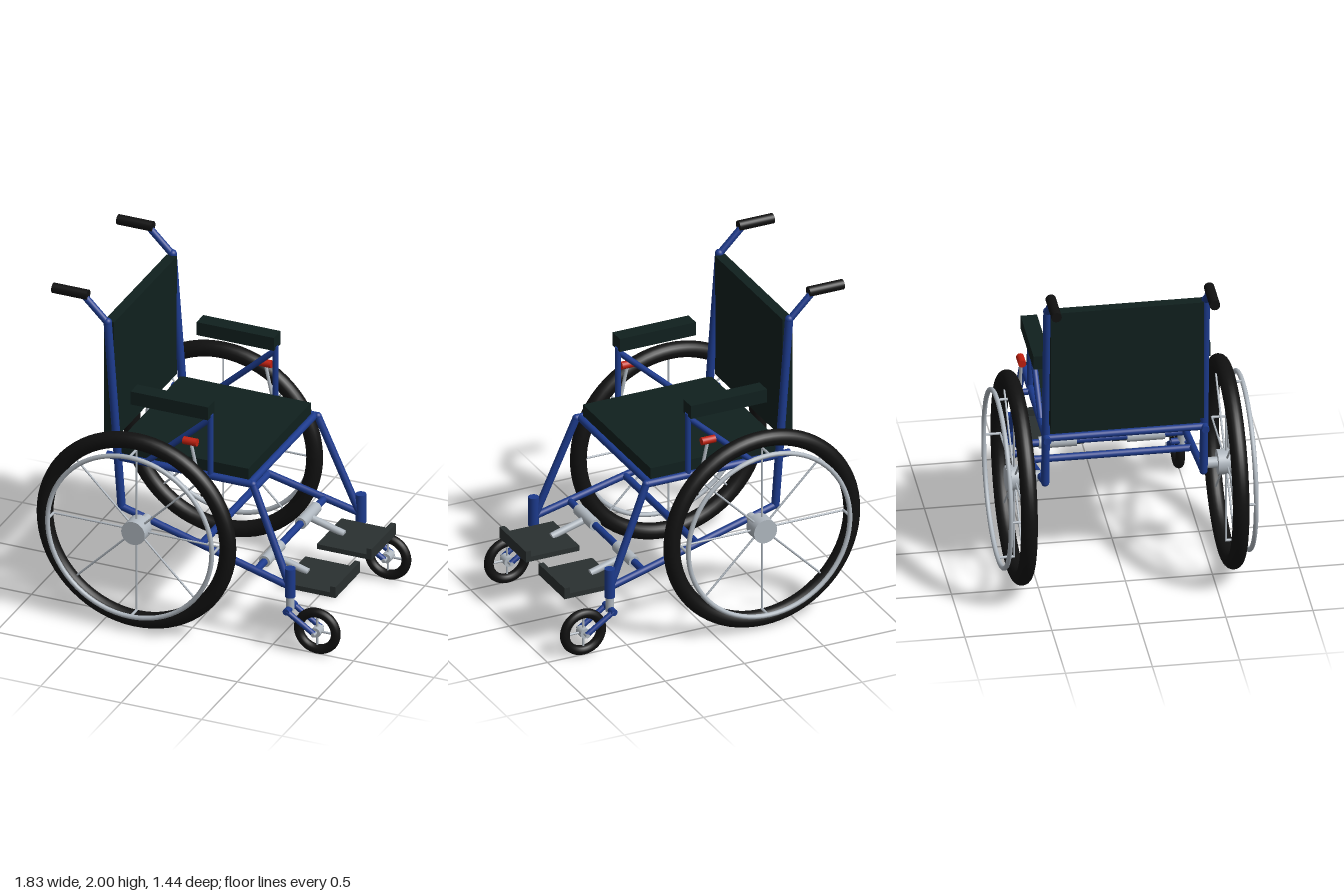
import * as THREE from 'three';

const mat = (color) => new THREE.MeshStandardMaterial({ color });
const blue = mat(0x1c3a8c), metal = mat(0xb0b8c0), black = mat(0x111111);
const fabric = mat(0x10201e), plate = mat(0x2a3030), red = mat(0xc0200f);
const V = (x, y, z) => new THREE.Vector3(x, y, z);

function add(parent, name, geometry, material, x = 0, y = 0, z = 0) {
  const mesh = new THREE.Mesh(geometry, material);
  mesh.name = name;
  mesh.position.set(x, y, z);
  parent.add(mesh);
  return mesh;
}

// Round bar between two points
function rod(parent, name, a, b, r, material, sides = 20) {
  const dir = V(...b).sub(V(...a));
  const mid = V(...a).addScaledVector(dir, 0.5);
  const mesh = add(parent, name, new THREE.CylinderGeometry(r, r, dir.length(), sides), material, mid.x, mid.y, mid.z);
  mesh.quaternion.setFromUnitVectors(V(0, 1, 0), dir.normalize());
  return mesh;
}

// Box given by its limits on each axis
function slab(parent, name, [x0, x1], [y0, y1], [z0, z1], material) {
  return add(parent, name, new THREE.BoxGeometry(x1 - x0, y1 - y0, z1 - z0), material,
    (x0 + x1) / 2, (y0 + y1) / 2, (z0 + z1) / 2);
}

function group(parent, name, x = 0, y = 0, z = 0) {
  const g = new THREE.Group();
  g.name = name;
  g.position.set(x, y, z);
  parent.add(g);
  return g;
}

function driveWheel(parent, s) {
  const g = group(parent, 'driveWheel', -0.3, 0.617, s * 0.608);
  add(g, 'tyre', new THREE.TorusGeometry(0.568, 0.048, 20, 72), black);
  add(g, 'handRim', new THREE.TorusGeometry(0.51, 0.014, 12, 72), metal, 0, 0, s * 0.096);
  rod(g, 'hub', [0, 0, -0.05], [0, 0, 0.05], 0.073, metal, 32);
  rod(g, 'axle', [0, 0, -s * 0.15], [0, 0, 0], 0.032, metal);
  for (let i = 0; i < 8; i++) {
    const a = i * Math.PI / 4, c = Math.cos(a), n = Math.sin(a);
    rod(g, 'spoke', [0.06 * c, 0.06 * n, 0], [0.535 * c, 0.535 * n, 0], 0.006, metal, 8);
    if (i % 2 === 0) rod(g, 'rimBracket', [0.515 * c, 0.515 * n, 0], [0.515 * c, 0.515 * n, s * 0.096], 0.008, metal, 8);
  }
}

function caster(parent, s) {
  const g = group(parent, 'caster', 0.605, 0, s * 0.495);
  rod(g, 'housing', [0, 0.33, 0], [0, 0.51, 0], 0.031, blue);
  rod(g, 'stem', [0, 0.24, 0], [0, 0.34, 0], 0.024, metal);
  rod(g, 'forkCrown', [0, 0.255, -0.062], [0, 0.255, 0.062], 0.02, blue);
  for (const side of [-1, 1])
    rod(g, 'forkLeg', [0, 0.255, side * 0.048], [0.168, 0.145, side * 0.048], 0.016, blue);
  const w = group(g, 'casterWheel', 0.168, 0.144, 0);
  add(w, 'tyre', new THREE.TorusGeometry(0.115, 0.028, 16, 48), black);
  rod(w, 'hub', [0, 0, -0.03], [0, 0, 0.03], 0.03, metal);
  rod(w, 'axle', [0, 0, -0.065], [0, 0, 0.065], 0.012, metal);
  for (let i = 0; i < 4; i++) {
    const a = i * Math.PI / 2;
    rod(w, 'spoke', [0, 0, 0], [0.1 * Math.cos(a), 0.1 * Math.sin(a), 0], 0.007, metal, 8);
  }
}

function sideFrame(parent, s) {
  const g = group(parent, 'sideFrame');
  const z = s * 0.455;
  const tube = (name, a, b, r = 0.022) => rod(g, name, a, b, r, blue);
  const joint = (x, y, zz, r = 0.023) => add(g, 'joint', new THREE.SphereGeometry(r, 16, 12), blue, x, y, zz);
  tube('backUpright', [-0.46, 0.66, z], [-0.547, 1.83, z], 0.024);
  tube('handleTube', [-0.547, 1.82, z], [-0.7, 1.97, z], 0.02);
  tube('seatRail', [-0.55, 0.975, z], [0.355, 0.975, z]);
  tube('frontLeg', [0.355, 0.975, z], [0.595, 0.4, s * 0.49]);
  tube('lowerRail', [-0.46, 0.66, z], [0.595, 0.39, s * 0.49], 0.021);
  joint(-0.46, 0.66, z);
  joint(-0.547, 1.825, z, 0.025);
  joint(0.355, 0.975, z);
  rod(g, 'grip', [-0.885, 1.973, z], [-0.667, 1.973, z], 0.03, black, 24);

  // Armrest
  tube('armPost', [0.092, 0.975, z], [0.092, 1.37, z], 0.018);
  tube('armBrace', [-0.3, 0.985, z], [0.092, 1.34, z], 0.018);
  slab(g, 'armPad', [-0.38, 0.1], [1.357, 1.44], [s * 0.462 - 0.047, s * 0.462 + 0.047], fabric);

  // Brake
  const b = group(g, 'brake');
  rod(b, 'brakeMount', [0.05, 0.97, z], [0.05, 0.97, s * 0.55], 0.018, blue);
  rod(b, 'brakeLever', [0.05, 0.97, s * 0.522], [0, 1.2, s * 0.522], 0.01, metal, 12);
  rod(b, 'brakeLink', [0.05, 0.97, s * 0.545], [0.11, 0.905, s * 0.55], 0.009, metal, 12);
  rod(b, 'brakePad', [0.08, 0.905, s * 0.553], [0.13, 0.905, s * 0.553], 0.017, black);
  rod(b, 'brakeKnob', [-0.045, 1.207, s * 0.522], [0.04, 1.207, s * 0.522], 0.023, red);
}

function footrest(parent, s) {
  const g = group(parent, 'footrest', 0, 0, s * 0.253);
  rod(g, 'clamp', [0.385, 0.44, -0.108], [0.385, 0.44, 0.108], 0.035, metal, 24);
  rod(g, 'arm', [0.385, 0.435, 0], [0.61, 0.37, 0], 0.021, metal);
  slab(g, 'footPlate', [0.515, 0.855], [0.337, 0.367], [-0.172, 0.172], plate);
  slab(g, 'toeLip', [0.822, 0.855], [0.36, 0.406], [-0.172, 0.172], plate);
}

export function createModel() {
  const model = new THREE.Group();
  model.name = 'wheelchair';

  // Upholstery
  slab(model, 'seat', [-0.49, 0.32], [0.985, 1.06], [-0.44, 0.44], fabric);
  slab(model, 'backrest', [-0.575, -0.513], [1.068, 1.822], [-0.44, 0.44], fabric);

  // Bars joining the two sides
  const bars = [['rearCrossbar', -0.505, 0.975, 0.455], ['seatCrossbar', 0.335, 0.975, 0.455],
    ['lowerCrossbar', 0.04, 0.53, 0.47], ['footrestCrossbar', 0.385, 0.44, 0.48]];
  for (const [name, x, y, z] of bars) rod(model, name, [x, y, -z], [x, y, z], 0.021, blue);

  for (const s of [-1, 1]) {
    sideFrame(model, s);
    driveWheel(model, s);
    caster(model, s);
    footrest(model, s);
  }
  return model;
}
